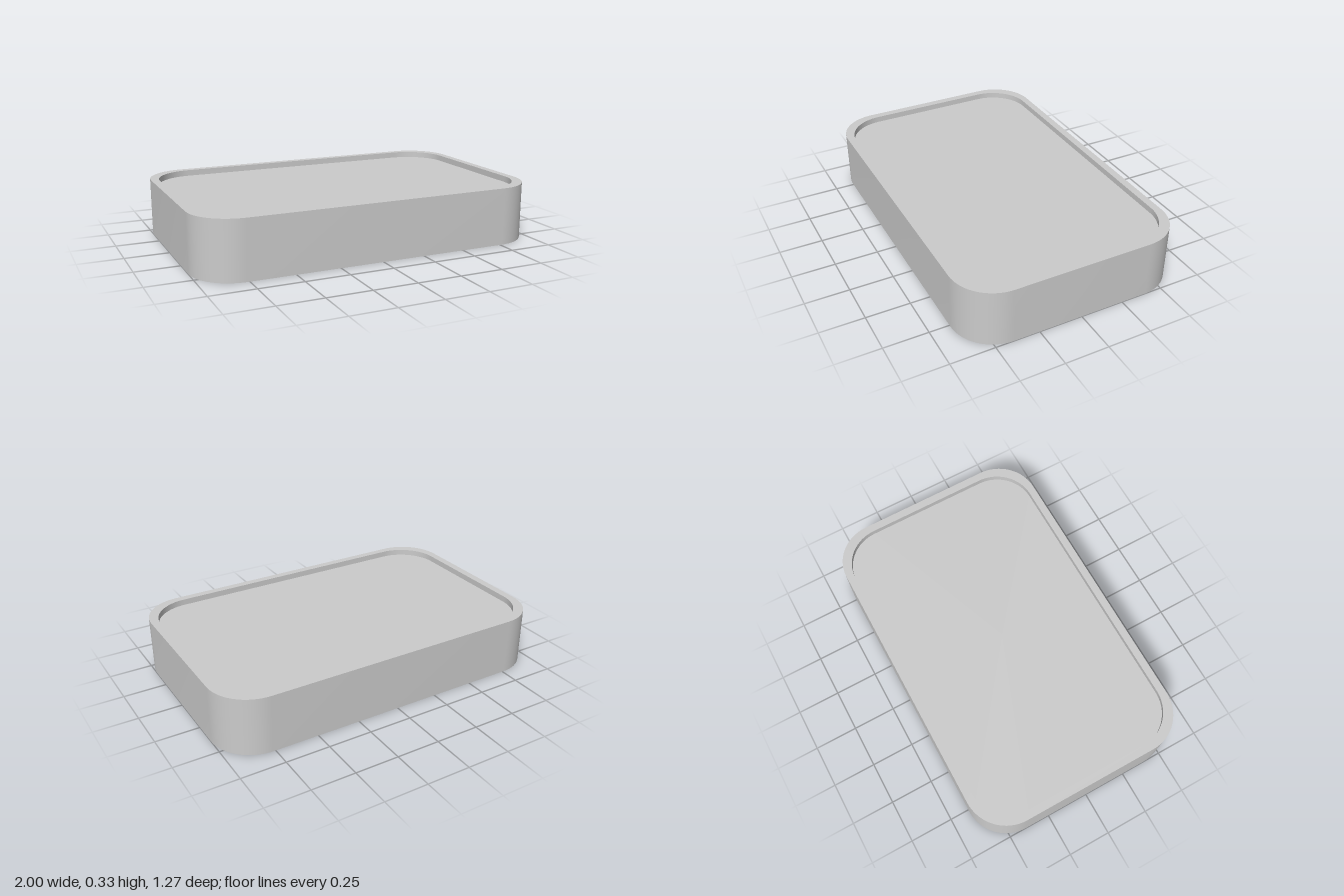
import * as THREE from 'three';
import { toCreasedNormals } from 'three/addons/utils/BufferGeometryUtils.js';

const HEIGHT = 0.33, RECESS = 0.035;
const CORNER_STEPS = 16;

// Rounded rectangle outline as [x, z] points, with half sizes and corner radius
function outline(halfX, halfZ, radius) {
  const points = [];
  for (let corner = 0; corner < 4; corner++) {
    const sx = corner === 0 || corner === 3 ? 1 : -1;
    const sz = corner < 2 ? 1 : -1;
    for (let i = 0; i <= CORNER_STEPS; i++) {
      const t = (corner + i / CORNER_STEPS) * Math.PI / 2;
      points.push([
        sx * (halfX - radius) + radius * Math.cos(t),
        sz * (halfZ - radius) + radius * Math.sin(t),
      ]);
    }
  }
  return points;
}

// Skin a list of closed loops, running from the bottom centre to the top centre
function skin(loops) {
  const count = loops[0].points.length;
  const positions = [], indices = [];
  for (const { points, y } of loops) {
    for (const [x, z] of points) positions.push(x, y, z);
  }
  for (let i = 0; i < loops.length - 1; i++) {
    for (let j = 0; j < count; j++) {
      const a = i * count + j, b = i * count + (j + 1) % count;
      const d = a + count, c = b + count;
      if (i > 0) indices.push(a, d, b);
      if (i < loops.length - 2) indices.push(b, d, c);
    }
  }
  const geometry = new THREE.BufferGeometry();
  geometry.setAttribute('position', new THREE.Float32BufferAttribute(positions, 3));
  geometry.setIndex(indices);
  return toCreasedNormals(geometry, Math.PI / 6);
}

export function createModel() {
  const group = new THREE.Group();
  group.name = 'tray';

  const outer = outline(1, 0.637, 0.24);
  const inner = outline(0.955, 0.594, 0.23);
  const centre = outer.map(() => [0, 0]);

  // Solid block with a shallow recess behind a narrow rim
  const body = new THREE.Mesh(
    skin([
      { points: centre, y: 0 },
      { points: outer, y: 0 },
      { points: outer, y: HEIGHT },
      { points: inner, y: HEIGHT },
      { points: inner, y: HEIGHT - RECESS },
      { points: centre, y: HEIGHT - RECESS },
    ]),
    new THREE.MeshStandardMaterial({ color: 0xcccccc }),
  );
  body.name = 'trayBody';
  group.add(body);

  return group;
}
